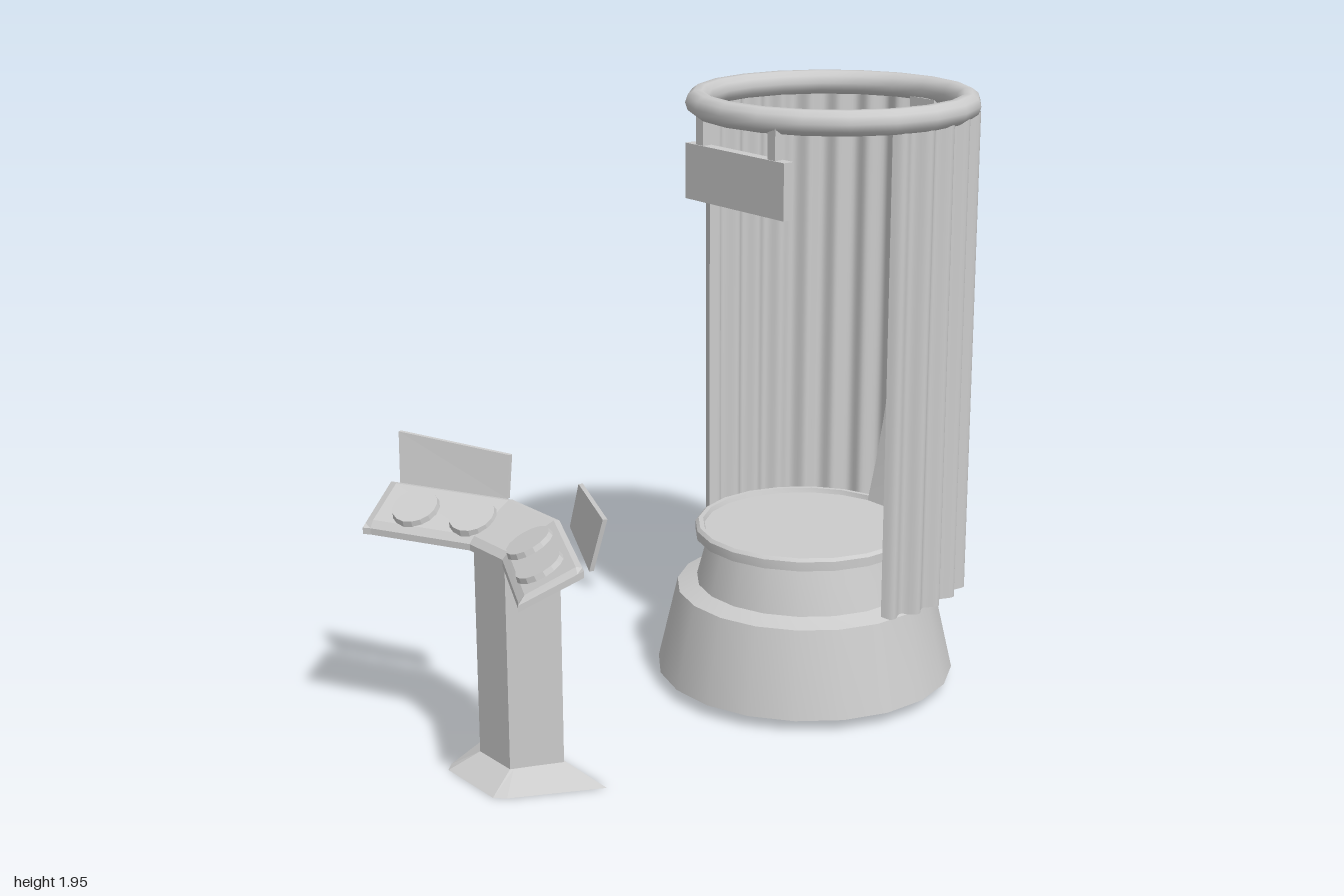
import * as THREE from 'three';
import { toCreasedNormals } from 'three/addons/utils/BufferGeometryUtils.js';

const smooth = new THREE.MeshStandardMaterial({ color: 0xcccccc, side: THREE.DoubleSide });
const flat = new THREE.MeshStandardMaterial({ color: 0xcccccc, flatShading: true });

function add(parent, name, geometry, material, x = 0, y = 0, z = 0) {
  const mesh = new THREE.Mesh(geometry, material);
  mesh.name = name;
  mesh.position.set(x, y, z);
  parent.add(mesh);
  return mesh;
}

// Closed solid through rings of [x, y, z], counterclockwise seen from the last ring
function loft(rings) {
  const n = rings[0].length, index = [];
  for (let r = 0; r < rings.length - 1; r++) {
    for (let i = 0; i < n; i++) {
      const a = r * n + i, b = r * n + (i + 1) % n;
      index.push(a, b, b + n, a, b + n, a + n);
    }
  }
  const last = (rings.length - 1) * n;
  for (let i = 1; i < n - 1; i++) {
    index.push(0, i + 1, i, last, last + i, last + i + 1);
  }
  const g = new THREE.BufferGeometry();
  g.setAttribute('position', new THREE.Float32BufferAttribute(rings.flat(2), 3));
  g.setIndex(index);
  g.computeVertexNormals();
  return g;
}

// Pleated curtain, open towards the front
function curtainGeometry() {
  const g = new THREE.PlaneGeometry(1, 1.57, 190, 1);
  const p = g.attributes.position;
  const start = THREE.MathUtils.degToRad(-121), end = THREE.MathUtils.degToRad(107);
  for (let i = 0; i < p.count; i++) {
    const a = start + (end - start) * (p.getX(i) + 0.5);
    const r = 0.423 + 0.035 * Math.max(0, Math.cos(a)) + 0.014 * Math.cos(a * 28) + 0.004 * Math.sin(a * 9);
    p.setXYZ(i, r * Math.sin(a), p.getY(i) + 1.105, -0.525 - r * Math.cos(a));
  }
  g.computeVertexNormals();
  return g;
}

// Narrow strip that curves forward at its foot
function stripGeometry() {
  const g = new THREE.BoxGeometry(0.11, 1.36, 0.03, 1, 10, 1);
  const p = g.attributes.position;
  for (let i = 0; i < p.count; i++) {
    const down = Math.max(0, 0.5 - p.getY(i) / 1.36);
    p.setZ(i, p.getZ(i) - 0.93 + 0.15 * Math.pow(down, 2.5));
  }
  g.computeVertexNormals();
  return g;
}

// Angled desk: each section runs from its back edge to its front edge
function deskGeometry() {
  const section = (bx, bz, fx, fz, rise) => [
    [1, -0.02], [0, -0.02], [0, 0], [0.1, rise], [0.9, rise], [1, 0],
  ].map(([t, up]) => [bx + (fx - bx) * t, 0.81 - 0.09 * t + up, bz + (fz - bz) * t]);
  const half = [
    [0.12, 0.64, 0.085, 0.82, 0.012],
    [0.475, 0.8175, 0.39, 0.975, 0.012],
    [0.5, 0.83, 0.41, 0.99, 0],
  ];
  const mirrored = half.map(([bx, bz, fx, fz, h]) => [-bx, bz, -fx, fz, h]).reverse();
  return loft([...mirrored, ...half].map((s) => section(...s)));
}

export function createModel() {
  const model = new THREE.Group();
  model.name = 'curtainBoothWithConsole';

  // Booth
  const booth = new THREE.Group();
  booth.name = 'booth';
  model.add(booth);

  // Stepped conical base with a rimmed platform
  const profile = [
    [0.49, 0.04], [0.425, 0.32], [0.36, 0.34], [0.32, 0.49], [0.365, 0.495],
    [0.365, 0.525], [0.355, 0.535], [0.34, 0.535], [0.335, 0.52], [0, 0.52],
  ].map(([r, y]) => new THREE.Vector2(r, y));
  const base = new THREE.LatheGeometry(profile, 20, Math.PI / 20);
  add(booth, 'base', toCreasedNormals(base, 0.5), smooth, 0, 0, -0.435);

  const ring = new THREE.TorusGeometry(0.425, 0.04, 10, 20).rotateX(Math.PI / 2);
  add(booth, 'topRing', ring, smooth, 0, 1.908, -0.525);
  add(booth, 'curtain', curtainGeometry(), smooth);
  add(booth, 'backStrip', stripGeometry(), smooth, 0, 1.2, 0);

  // Hanging sign
  add(booth, 'signBoard', new THREE.BoxGeometry(0.465, 0.175, 0.038), flat, 0.008, 1.705, -0.13);
  for (const x of [-0.16, 0.178]) {
    add(booth, 'signHanger', new THREE.BoxGeometry(0.035, 0.11, 0.03), flat, x, 1.84, -0.13);
  }

  // Console
  const stand = new THREE.Group();
  stand.name = 'console';
  model.add(stand);

  const level = (y, points) => points.map(([x, z]) => [x, y, z]);
  add(stand, 'foot', loft([
    level(0, [[0.28, 0.6], [-0.28, 0.6], [-0.15, 0.87], [-0.12, 0.9], [0.12, 0.9], [0.15, 0.87]]),
    level(0.05, [[0.14, 0.65], [-0.14, 0.65], [-0.085, 0.8], [-0.08, 0.81], [0.08, 0.81], [0.085, 0.8]]),
  ]), flat);
  add(stand, 'post', loft([
    level(0.04, [[0.14, 0.655], [-0.14, 0.655], [-0.08, 0.81], [0.08, 0.81]]),
    [[0.14, 0.79, 0.655], [-0.14, 0.79, 0.655], [-0.08, 0.71, 0.81], [0.08, 0.71, 0.81]],
  ]), flat);
  add(stand, 'desk', deskGeometry(), flat);

  // Each wing carries a raised panel and two round buttons
  const normal = new THREE.Vector3(-0.0402, 0.179, 0.0805).normalize();
  const tilt = new THREE.Quaternion().setFromUnitVectors(new THREE.Vector3(0, 1, 0), normal);
  for (const side of [1, -1]) {
    const wing = new THREE.Group();
    wing.name = side > 0 ? 'leftWing' : 'rightWing';
    wing.scale.x = side;
    stand.add(wing);

    add(wing, 'wingPanel', loft([
      [[0.49, 0.8, 0.805], [0.495, 0.8, 0.793], [0.165, 0.8, 0.62], [0.16, 0.8, 0.632]],
      [[0.525, 0.955, 0.782], [0.53, 0.955, 0.77], [0.18, 0.93, 0.597], [0.175, 0.93, 0.609]],
    ]), flat);

    for (const [x, z] of [[0.15, 0.762], [0.325, 0.85]]) {
      const button = add(wing, 'button', new THREE.CylinderGeometry(0.07, 0.075, 0.02, 16), flat);
      button.quaternion.copy(tilt);
      button.position.set(x, 0.765, z).addScaledVector(normal, 0.014);
    }
  }
  return model;
}
